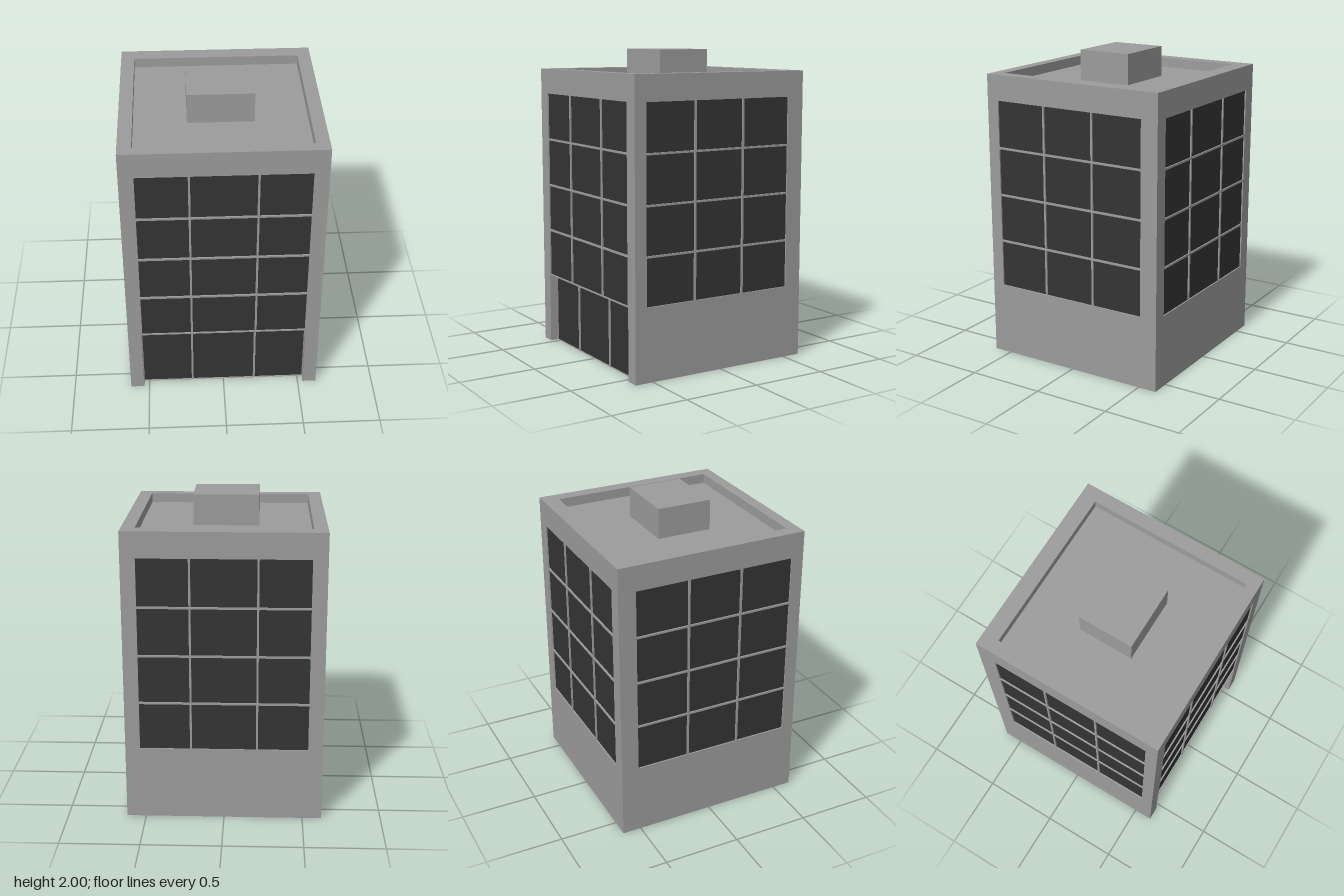
import * as THREE from 'three';

const HALF = 0.622;        // half the width and depth of the tower
const DECK = 1.805, TOP = 1.867;
const BAR = 0.013;         // width of the glazing bars
const EDGE = 0.003;        // slim frame around each glazed area
const FRAME_DEPTH = 0.015;
const WIN_BOTTOM = 0.468, WIN_TOP = 1.706, ROWS = 4;
const DOOR_W = 0.535, DOOR_H = 0.463, RECESS = 0.058;

const grey = new THREE.MeshStandardMaterial({ color: 0x9c9c9c, side: THREE.DoubleSide });
const glass = new THREE.MeshStandardMaterial({ color: 0x343434, side: THREE.DoubleSide });

function add(parent, name, geometry, material, x = 0, y = 0, z = 0) {
  const mesh = new THREE.Mesh(geometry, material);
  mesh.name = name;
  mesh.position.set(x, y, z);
  parent.add(mesh);
  return mesh;
}

function polygon(points, Type = THREE.Shape) {
  return new Type(points.map(([x, y]) => new THREE.Vector2(x, y)));
}

const rect = (x0, y0, x1, y1) => [[x0, y0], [x1, y0], [x1, y1], [x0, y1]];

// Turns grid lines into [start, end] spans separated by glazing bars
function spans(lines) {
  const last = lines.length - 2;
  return lines.slice(0, -1).map((a, i) => [
    a + (i > 0 ? BAR / 2 : EDGE),
    lines[i + 1] - (i < last ? BAR / 2 : EDGE),
  ]);
}

// Frame with a grid of openings and a pane set back in each one
function glazing(name, columns, rows, zFront) {
  const group = new THREE.Group();
  group.name = name;
  const frame = polygon(rect(columns[0], rows[0], columns.at(-1), rows.at(-1)));
  for (const [y0, y1] of spans(rows)) {
    for (const [x0, x1] of spans(columns)) {
      frame.holes.push(polygon(rect(x0, y0, x1, y1), THREE.Path));
      add(group, 'pane', new THREE.PlaneGeometry(x1 - x0, y1 - y0), glass,
        (x0 + x1) / 2, (y0 + y1) / 2, zFront - FRAME_DEPTH * 0.6);
    }
  }
  add(group, 'frame', new THREE.ExtrudeGeometry(frame, { depth: FRAME_DEPTH, bevelEnabled: false }),
    grey, 0, 0, zFront - FRAME_DEPTH);
  return group;
}

// One facade: wall sheet with a glazed opening, facing local +z
function facade(name, columns, angle, hasEntrance) {
  const group = new THREE.Group();
  group.name = name;
  const wall = polygon(hasEntrance
    ? [[-HALF, 0], [-DOOR_W, 0], [-DOOR_W, DOOR_H], [DOOR_W, DOOR_H],
       [DOOR_W, 0], [HALF, 0], [HALF, DECK], [-HALF, DECK]]
    : rect(-HALF, 0, HALF, DECK));
  wall.holes.push(polygon(rect(columns[0], WIN_BOTTOM, columns.at(-1), WIN_TOP), THREE.Path));
  add(group, 'wall', new THREE.ShapeGeometry(wall), grey, 0, 0, HALF);
  const rows = Array.from({ length: ROWS + 1 },
    (_, i) => WIN_BOTTOM + (WIN_TOP - WIN_BOTTOM) * i / ROWS);
  group.add(glazing('windows', columns, rows, HALF));
  group.rotation.y = angle;
  return group;
}

// Recessed ground-floor glazing with jambs and soffit
function entrance() {
  const group = new THREE.Group();
  group.name = 'entrance';
  const mid = HALF - RECESS / 2;
  for (const side of [-1, 1]) {
    const jamb = add(group, 'entranceJamb', new THREE.PlaneGeometry(RECESS, DOOR_H), grey,
      side * DOOR_W, DOOR_H / 2, mid);
    jamb.rotation.y = -side * Math.PI / 2;
  }
  const soffit = add(group, 'entranceSoffit', new THREE.PlaneGeometry(2 * DOOR_W, RECESS), grey,
    0, DOOR_H, mid);
  soffit.rotation.x = Math.PI / 2;
  group.add(glazing('entranceGlazing', [-DOOR_W, -0.207, 0.207, DOOR_W], [0, DOOR_H],
    HALF - RECESS + FRAME_DEPTH * 0.6));
  return group;
}

// Roof deck, surrounding parapet and rooftop box
function roof() {
  const group = new THREE.Group();
  group.name = 'roof';
  const deck = add(group, 'roofDeck', new THREE.PlaneGeometry(2 * HALF, 2 * HALF), grey, 0, DECK, 0);
  deck.rotation.x = -Math.PI / 2;
  const ring = polygon(rect(-HALF, -HALF, HALF, HALF));
  ring.holes.push(polygon(rect(-0.536, -0.547, 0.537, 0.518), THREE.Path));
  const parapet = add(group, 'parapet',
    new THREE.ExtrudeGeometry(ring, { depth: TOP - DECK, bevelEnabled: false }), grey, 0, DECK, 0);
  parapet.rotation.x = -Math.PI / 2;
  add(group, 'rooftopBox', new THREE.BoxGeometry(0.415, 2 - DECK, 0.355), grey,
    0, (2 + DECK) / 2, 0.015);
  return group;
}

export function createModel() {
  const model = new THREE.Group();
  model.name = 'officeTower';
  const wide = [-0.532, -0.207, 0.207, 0.532];
  const side = [-0.511, -0.16, 0.194, 0.545];      // along z, back to front
  const mirrored = side.map((v) => -v).reverse();
  model.add(
    facade('frontFacade', wide, 0, true),
    facade('backFacade', wide, Math.PI, false),
    facade('leftFacade', mirrored, Math.PI / 2, false),
    facade('rightFacade', side, -Math.PI / 2, false),
    entrance(),
    roof(),
  );
  return model;
}
